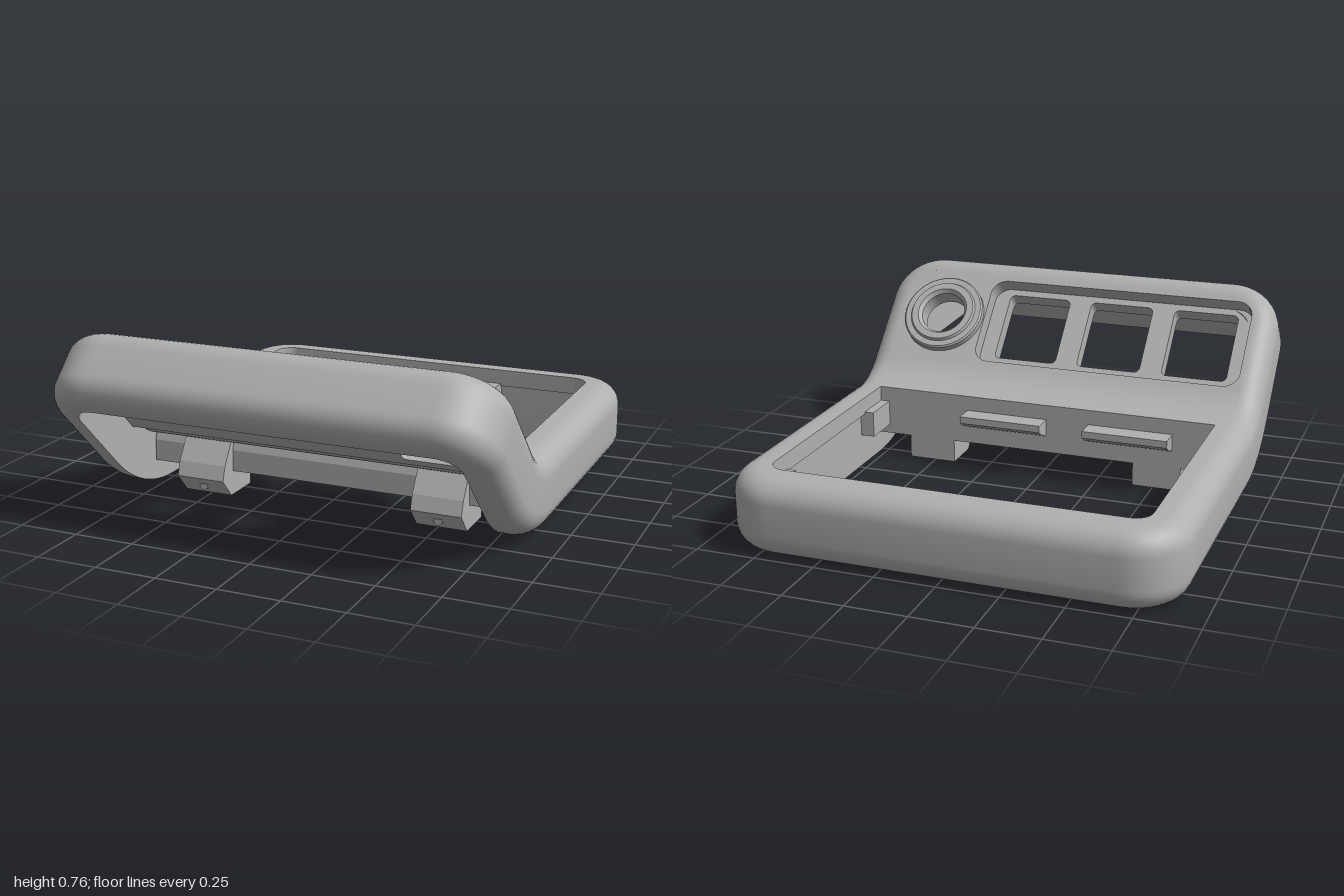
import * as THREE from 'three';
import { toCreasedNormals, mergeVertices } from 'three/addons/utils/BufferGeometryUtils.js';

const grey = new THREE.MeshStandardMaterial({ color: 0xb0b0b0 });
grey.name = 'grey plastic';

// The case is laid out flat (x, height h, length s), then bent up by 45 degrees.
const BEND_START = 0.22, BEND_END = 0.56, PIVOT = 0.59, ANGLE = Math.PI / 4;
const TOP = 0.315, S_MID = 0.063, S_HALF = 1.063, X_HALF = 0.91, CORNER = 0.22;

function bendPoint(x, h, s) {
  if (s <= BEND_START) return [x, h, s];
  const a = ANGLE * Math.min(1, (s - BEND_START) / (BEND_END - BEND_START));
  const t = Math.max(0, s - BEND_END), r = PIVOT - h;
  return [x, PIVOT - r * Math.cos(a) + t * Math.sin(a), BEND_START + r * Math.sin(a) + t * Math.cos(a)];
}

function bend(geo) {
  const p = geo.attributes.position;
  for (let i = 0; i < p.count; i++) p.setXYZ(i, ...bendPoint(p.getX(i), p.getY(i), p.getZ(i)));
  return geo;
}

const crease = (geo, deg = 32) => toCreasedNormals(geo, THREE.MathUtils.degToRad(deg));

// Rounded outline of the case in (x, s), moved inwards by an inset
function outline(inset) {
  const w = X_HALF - inset, l = S_HALF - inset, r = Math.max(0.04, CORNER - inset), pts = [];
  const side = [];
  for (let i = 0; i <= 12; i++) side.push(BEND_START + (BEND_END - BEND_START) * i / 12);
  side.push(BEND_END + 0.002);
  const corner = (cx, cs, a0) => {
    for (let i = 0; i <= 10; i++) {
      const a = a0 + Math.PI / 2 * i / 10;
      pts.push([cx + r * Math.cos(a), cs + r * Math.sin(a)]);
    }
  };
  const far = S_MID + l - r, back = S_MID - l + r;
  side.forEach(s => pts.push([w, s]));
  corner(w - r, far, 0);
  corner(-w + r, far, Math.PI / 2);
  side.slice().reverse().forEach(s => pts.push([-w, s]));
  corner(-w + r, back, Math.PI);
  corner(w - r, back, Math.PI * 1.5);
  return pts;
}

// Rim: a rounded wall section carried around the outline
function rimGeometry() {
  const R = 0.095, N = 8, section = [[0.13, 0]];
  const arc = (h, a0) => {
    for (let i = 0; i <= N; i++) {
      const a = a0 + Math.PI / 2 * i / N;
      section.push([R - R * Math.sin(a), h - R * Math.cos(a)]);
    }
  };
  arc(R, 0);
  arc(TOP - R, Math.PI / 2);
  // the upper inner edge is set back in the panel area (third number)
  section.push([0.15, TOP, 0.1], [0.15, 0.24, 0.1], [0.13, 0.24]);
  const rings = section.map(([d, h, panel]) => {
    const a = outline(d), b = outline(panel ?? d);
    return a.map((p, i) => bendPoint(...(q => [q[0], h, q[1]])(p[1] > BEND_END + 0.001 ? b[i] : p)));
  });
  const n = rings[0].length, m = rings.length, index = [];
  for (let j = 0; j < m; j++) for (let i = 0; i < n; i++) {
    const k = (j + 1) % m, e = (i + 1) % n;
    const a = j * n + i, b = k * n + i, c = j * n + e, d = k * n + e;
    index.push(a, b, c, b, d, c);
  }
  const geo = new THREE.BufferGeometry();
  geo.setAttribute('position', new THREE.Float32BufferAttribute(rings.flat(2), 3));
  geo.setIndex(index);
  return crease(mergeVertices(geo), 35);
}

function roundedRect(x0, x1, s0, s1, r, Type = THREE.Path) {
  const p = new Type();
  p.moveTo(x0 + r, s0);
  p.lineTo(x1 - r, s0);
  p.absarc(x1 - r, s0 + r, r, -Math.PI / 2, 0);
  p.lineTo(x1, s1 - r);
  p.absarc(x1 - r, s1 - r, r, 0, Math.PI / 2);
  p.lineTo(x0 + r, s1);
  p.absarc(x0 + r, s1 - r, r, Math.PI / 2, Math.PI);
  p.lineTo(x0, s0 + r);
  p.absarc(x0 + r, s0 + r, r, Math.PI, Math.PI * 1.5);
  return p;
}

// One layer of the sloping panel, with rounded far corners and holes
function layer(w, s1, h0, h1, holes) {
  const r = 0.12, s = new THREE.Shape();
  s.moveTo(-w, BEND_END);
  s.lineTo(w, BEND_END);
  s.lineTo(w, s1 - r);
  s.absarc(w - r, s1 - r, r, 0, Math.PI / 2);
  s.lineTo(-w + r, s1);
  s.absarc(-w + r, s1 - r, r, Math.PI / 2, Math.PI);
  s.holes = holes;
  const geo = new THREE.ExtrudeGeometry(s, { depth: h1 - h0, bevelEnabled: false, curveSegments: 8 });
  return crease(bend(geo.rotateX(Math.PI / 2).translate(0, h1, 0)));
}

// A (z, y) section drawn out along x
function bar(points, x0, x1) {
  const shape = new THREE.Shape(points.map(p => new THREE.Vector2(...p)));
  const geo = new THREE.ExtrudeGeometry(shape, { depth: x1 - x0, bevelEnabled: false });
  return geo.rotateY(-Math.PI / 2).translate(x1, 0, 0);
}

const box = (x0, x1, y0, y1, z0, z1, seg = 1) =>
  new THREE.BoxGeometry(x1 - x0, y1 - y0, z1 - z0, 1, 1, seg)
    .translate((x0 + x1) / 2, (y0 + y1) / 2, (z0 + z1) / 2);

export function createModel() {
  const model = new THREE.Group();
  model.name = 'bentFrame';
  const add = (name, geo) => {
    const mesh = new THREE.Mesh(geo, grey);
    mesh.name = name;
    model.add(mesh);
    return mesh;
  };

  add('rim', rimGeometry());

  // Curved strip between the frame and the sloping panel
  add('bendPlate', crease(bend(box(-0.775, 0.775, 0.2, TOP, 0.2, BEND_END, 18))));

  // Sloping panel: window floor, recess and socket pocket
  const windows = [-0.73, -0.34, 0.05].map(x => roundedRect(x, x + 0.29, 0.64, 0.97, 0.025));
  const recess = () => roundedRect(-0.8, 0.41, 0.58, 1.0, 0.07);
  const pocket = () => roundedRect(0.42, 0.77, 0.6, 0.97, 0.02);
  const socket = new THREE.Path().absarc(0.6, 0.79, 0.15, 0, Math.PI * 2);
  add('windowPanel', layer(0.79, 1.0, 0.17, 0.24, [...windows, pocket()]));
  add('recessPanel', layer(0.81, 1.026, 0.24, 0.27, [recess(), pocket()]));
  add('topPanel', layer(0.81, 1.026, 0.27, TOP, [recess(), socket]));

  // Stepped ring around the socket
  const ringSection = [[0.1, 0.27], [0.155, 0.27], [0.155, 0.31], [0.185, 0.31], [0.185, 0.343],
    [0.178, 0.35], [0.152, 0.35], [0.145, 0.362], [0.115, 0.362], [0.1, 0.345], [0.1, 0.27]];
  const ring = new THREE.LatheGeometry(ringSection.map(p => new THREE.Vector2(...p)), 48);
  add('socketRing', crease(bend(ring.translate(0.6, 0, 0.79)), 25));

  // Cross wall under the bend
  add('crossWall', bar([[0.2, 0.1], [0.35, 0.1], [0.35, 0.19], [0.33, 0.25], [0.2, 0.25]], -0.775, 0.775));

  // Hinge blocks with pins
  for (const x of [-0.515, 0.515]) {
    add('hingeBlock', bar([[0.2, 0], [0.37, 0], [0.44, 0.08], [0.42, 0.14], [0.36, 0.235], [0.2, 0.235]],
      x - 0.105, x + 0.105));
    add('hingePin', new THREE.CylinderGeometry(0.018, 0.018, 0.04, 16)
      .rotateX(Math.PI / 2).translate(x, 0.04, 0.393));
  }

  // Retaining tabs along the opening, chamfered below
  for (const [x0, x1] of [[-0.58, -0.21], [-0.02, 0.345]]) {
    add('backTab', bar([[-0.88, 0.17], [-0.81, 0.2], [-0.78, 0.22], [-0.78, 0.25], [-0.88, 0.25]], x0, x1));
    add('frontTab', bar([[0.21, 0.25], [0.11, 0.25], [0.11, 0.22], [0.14, 0.2], [0.21, 0.17]], x0, x1));
  }
  add('backCornerTab', box(0.72, 0.79, 0.14, 0.25, -0.87, -0.69));
  add('frontCornerTab', box(0.72, 0.79, 0.14, 0.25, 0.03, 0.21));

  // Ledge along one side of the opening
  add('sideLedge', box(-0.79, -0.725, 0.16, 0.22, -0.87, 0.21));

  return model;
}
